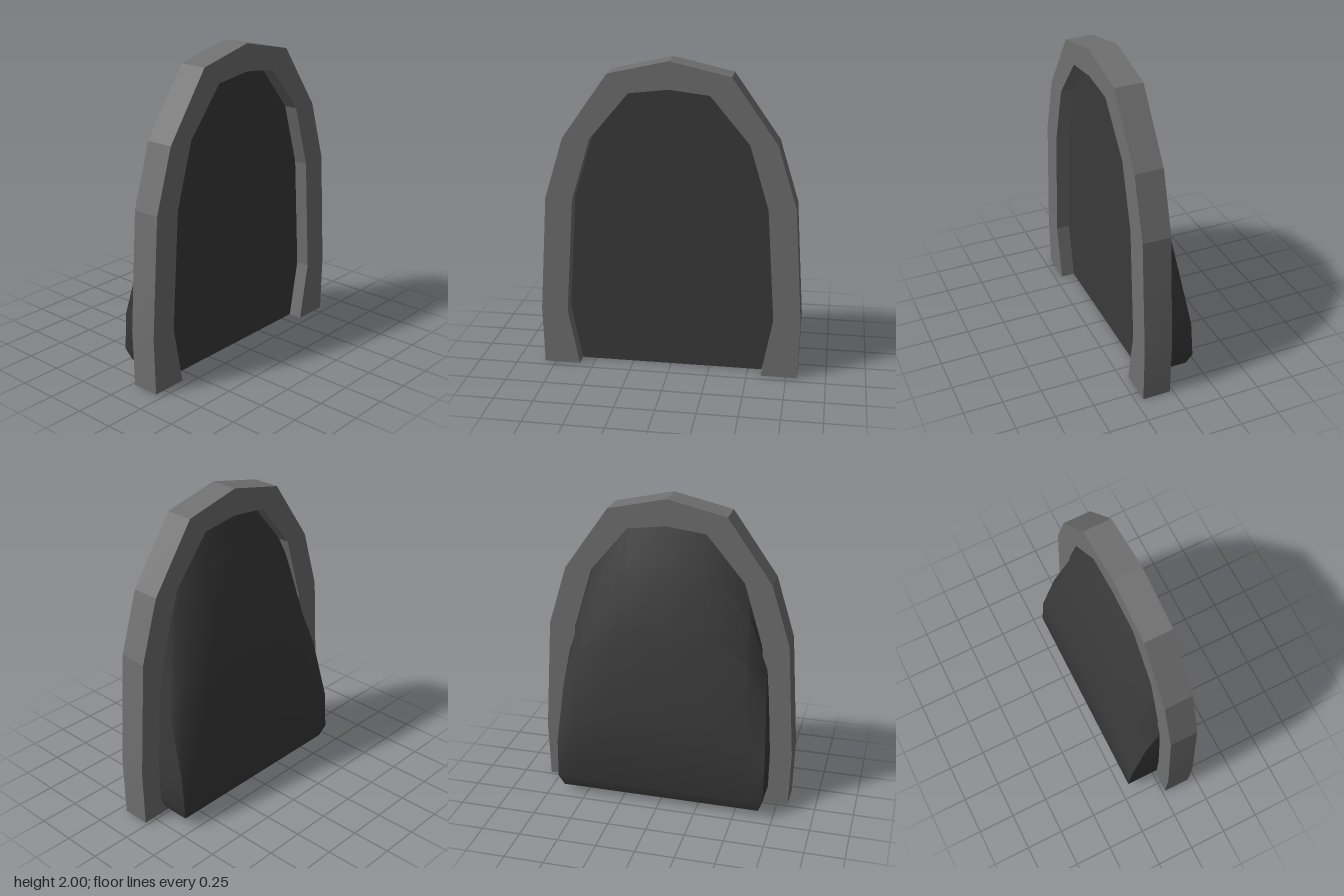
import * as THREE from 'three';
import { toCreasedNormals } from 'three/addons/utils/BufferGeometryUtils.js';

const PANEL_X = 0.11; // plane of the flat inner face

// Half outlines as [z, y], from the foot up to the crown
const outer = [[0.82, 0], [0.83, 0.37], [0.78, 1.12], [0.66, 1.51], [0.375, 1.915], [0, 2]];
const inner = [[0.59, 0], [0.66, 0.37], [0.61, 1.11], [0.49, 1.51], [0.247, 1.8], [0, 1.83]];
// Crown of the panel, tucked slightly into the frame
const crown = [[0.635, 1.12], [0.515, 1.525], [0.26, 1.82], [0, 1.855]];

const mirror = half => [
  ...half.map(([z, y]) => [-z, y]),
  ...half.slice(0, -1).reverse(),
];
const toShape = pts => new THREE.Shape(pts.map(([z, y]) => new THREE.Vector2(z, y)));

// Arched frame, open at the foot
function makeFrame(material) {
  const pts = [...mirror(outer), ...mirror(inner).reverse()];
  const geo = new THREE.ExtrudeGeometry(toShape(pts), { depth: 0.18, bevelEnabled: false });
  geo.rotateY(Math.PI / 2).translate(0.02, 0, 0);
  const mesh = new THREE.Mesh(toCreasedNormals(geo, 0.1), material);
  mesh.name = 'archFrame';
  return mesh;
}

// Rows of the bulge: x, half width, height scale of the crown (or a level y)
const rows = [
  { x: PANEL_X, w: 0.635, s: 1 },
  { x: 0.02, w: 0.65, s: 0.847 },
  { x: -0.08, w: 0.667, s: 0.66 },
  { x: -0.18, w: 0.688, s: 0.333 },
  { x: -0.2, w: 0.685, y: 0.12 },
  { x: -0.17, w: 0.655, y: 0.04 },
  { x: -0.08, w: 0.58, y: 0 },
  { x: PANEL_X, w: 0.58, y: 0 },
];

// Bulging shell: crown curves squashed downwards as they move outwards
function makeBulge(material) {
  const pos = [], index = [];
  const arch = mirror(crown);
  const cols = arch.length + 2;
  rows.forEach(({ x, w, s, y }) => {
    const line = arch.map(([z, h]) => [x, y ?? h * s, z * w / crown[0][0]]);
    const edgeY = line[0][1];
    // End columns carry the side walls back to the panel plane
    pos.push(PANEL_X, edgeY, -w, ...line.flat(), PANEL_X, edgeY, w);
  });
  for (let r = 0; r < rows.length - 1; r++) {
    for (let c = 0; c < cols - 1; c++) {
      const a = r * cols + c, b = a + 1, d = a + cols, e = d + 1;
      index.push(a, d, b, b, d, e);
    }
  }
  const geo = new THREE.BufferGeometry();
  geo.setAttribute('position', new THREE.Float32BufferAttribute(pos, 3));
  geo.setIndex(index);
  const mesh = new THREE.Mesh(toCreasedNormals(geo, 0.65), material);
  mesh.name = 'bulgingShell';
  return mesh;
}

// Flat inner face closing the shell
function makeFace(material) {
  const sides = rows.slice(1, -1).reverse().map(({ w, s, y }) => [w, y ?? crown[0][1] * s]);
  const geo = new THREE.ShapeGeometry(toShape(mirror([...sides, ...crown])));
  geo.rotateY(Math.PI / 2).translate(PANEL_X, 0, 0);
  const mesh = new THREE.Mesh(geo, material);
  mesh.name = 'innerFace';
  return mesh;
}

export function createModel() {
  const frameMat = new THREE.MeshStandardMaterial({ color: 0x707070 });
  const panelMat = new THREE.MeshStandardMaterial({ color: 0x3a3a3a });
  const panel = new THREE.Group();
  panel.name = 'panel';
  panel.add(makeBulge(panelMat), makeFace(panelMat));
  const model = new THREE.Group();
  model.name = 'archedPanel';
  model.add(makeFrame(frameMat), panel);
  return model;
}
